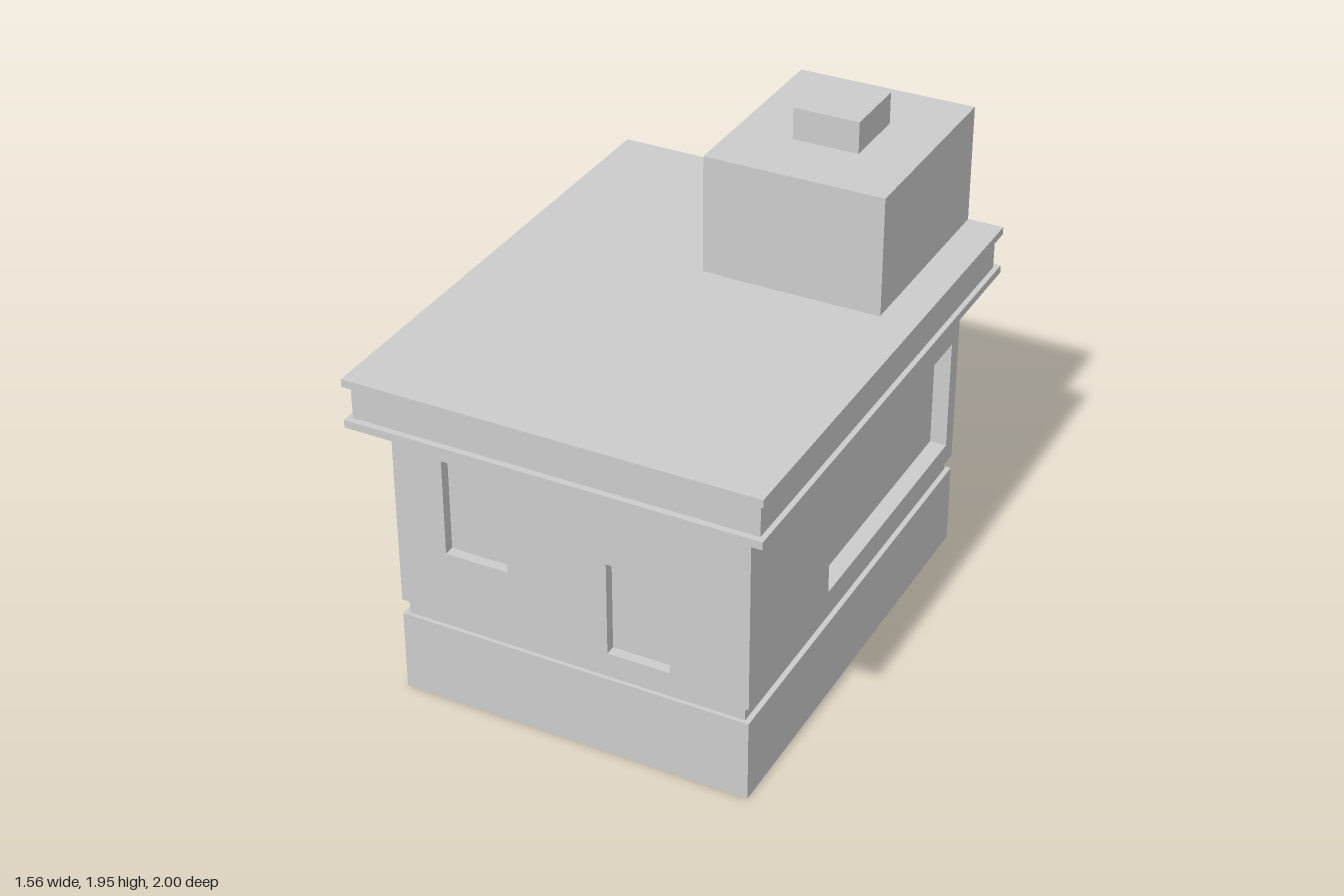
import * as THREE from 'three';

const HALF_X = 0.68, HALF_Z = 0.875;      // outer walls
const DEEP = 0.065, SHALLOW = 0.04;       // recess depths
const DOOR = { z0: 0.235, z1: 0.65, top: 0.86 };
const WALL_Y0 = 0.38, WALL_Y1 = 1.14;

export function createModel() {
  const model = new THREE.Group();
  model.name = 'building';
  const material = new THREE.MeshStandardMaterial({ color: 0xcccccc, flatShading: true });

  const add = (name, geometry) => {
    const mesh = new THREE.Mesh(geometry, material);
    mesh.name = name;
    model.add(mesh);
    return mesh;
  };

  // box given by its extents on each axis
  const box = (name, [x0, x1], [y0, y1], [z0, z1]) =>
    add(name, new THREE.BoxGeometry(x1 - x0, y1 - y0, z1 - z0))
      .position.set((x0 + x1) / 2, (y0 + y1) / 2, (z0 + z1) / 2);

  const outline = (points) => new THREE.Shape(points.map(([a, b]) => new THREE.Vector2(a, b)));
  const rect = (u0, u1, v0, v1) => outline([[u0, v0], [u1, v0], [u1, v1], [u0, v1]]);
  const extrude = (shape, depth) => new THREE.ExtrudeGeometry(shape, { depth, bevelEnabled: false });

  // floor-plan slab with the doorway notched into its left-hand (-x) edge
  const plinth = (name, hx, hz, y0, y1) => {
    const inner = -HALF_X + DEEP;
    const shape = outline([
      [-hx, -hz], [hx, -hz], [hx, hz], [-hx, hz],
      [-hx, -DOOR.z0], [inner, -DOOR.z0], [inner, -DOOR.z1], [-hx, -DOOR.z1],
    ]);
    const geometry = extrude(shape, y1 - y0).rotateX(-Math.PI / 2);
    add(name, geometry).position.y = y0;
  };
  plinth('base', HALF_X, HALF_Z, 0, 0.32);
  plinth('baseGroove', 0.66, 0.86, 0.32, WALL_Y0);

  // solid core behind the wall panels
  box('wallCore', [-HALF_X + DEEP, HALF_X - DEEP], [WALL_Y0, WALL_Y1], [-HALF_Z, HALF_Z - SHALLOW]);

  // front wall with two window recesses
  const frontHalf = HALF_X - DEEP;
  const front = rect(-frontHalf, frontHalf, WALL_Y0, WALL_Y1);
  front.holes.push(rect(-0.485, -0.24, 0.64, 1.02), rect(0.145, 0.385, 0.43, 0.8));
  add('frontWall', extrude(front, SHALLOW)).position.z = HALF_Z - SHALLOW;

  // +x wall with one wide window recess (shape u = -z)
  const wide = rect(-HALF_Z, HALF_Z, WALL_Y0, WALL_Y1);
  wide.holes.push(rect(-0.25, 0.81, 0.46, 0.905));
  const wideWall = add('wideWindowWall', extrude(wide, DEEP));
  wideWall.rotation.y = Math.PI / 2;
  wideWall.position.x = HALF_X - DEEP;

  // -x wall with the doorway and a shallower window (shape u = z)
  const doorSide = outline([
    [-HALF_Z, WALL_Y0], [DOOR.z0, WALL_Y0], [DOOR.z0, DOOR.top], [DOOR.z1, DOOR.top],
    [DOOR.z1, WALL_Y0], [HALF_Z, WALL_Y0], [HALF_Z, WALL_Y1], [-HALF_Z, WALL_Y1],
  ]);
  doorSide.holes.push(rect(-0.64, 0, 0.54, 0.97));
  const doorWall = add('doorWall', extrude(doorSide, DEEP));
  doorWall.rotation.y = -Math.PI / 2;
  doorWall.position.x = -HALF_X + DEEP;
  box('windowPane', [-HALF_X + SHALLOW, -HALF_X + DEEP], [0.54, 0.97], [-0.64, 0]);

  // flat roof: two thin lips around a fascia
  box('lowerLip', [-0.78, 0.78], [WALL_Y1, 1.17], [-1, 1]);
  box('fascia', [-0.76, 0.76], [1.17, 1.3], [-0.975, 0.975]);
  box('upperLip', [-0.78, 0.78], [1.3, 1.33], [-1, 1]);

  // rooftop unit
  box('unitFoot', [0.03, 0.64], [1.33, 1.38], [-0.835, -0.2]);
  box('unitBody', [-0.005, 0.675], [1.38, 1.83], [-0.91, -0.125]);
  box('unitCap', [0.21, 0.46], [1.83, 1.95], [-0.65, -0.385]);

  return model;
}
